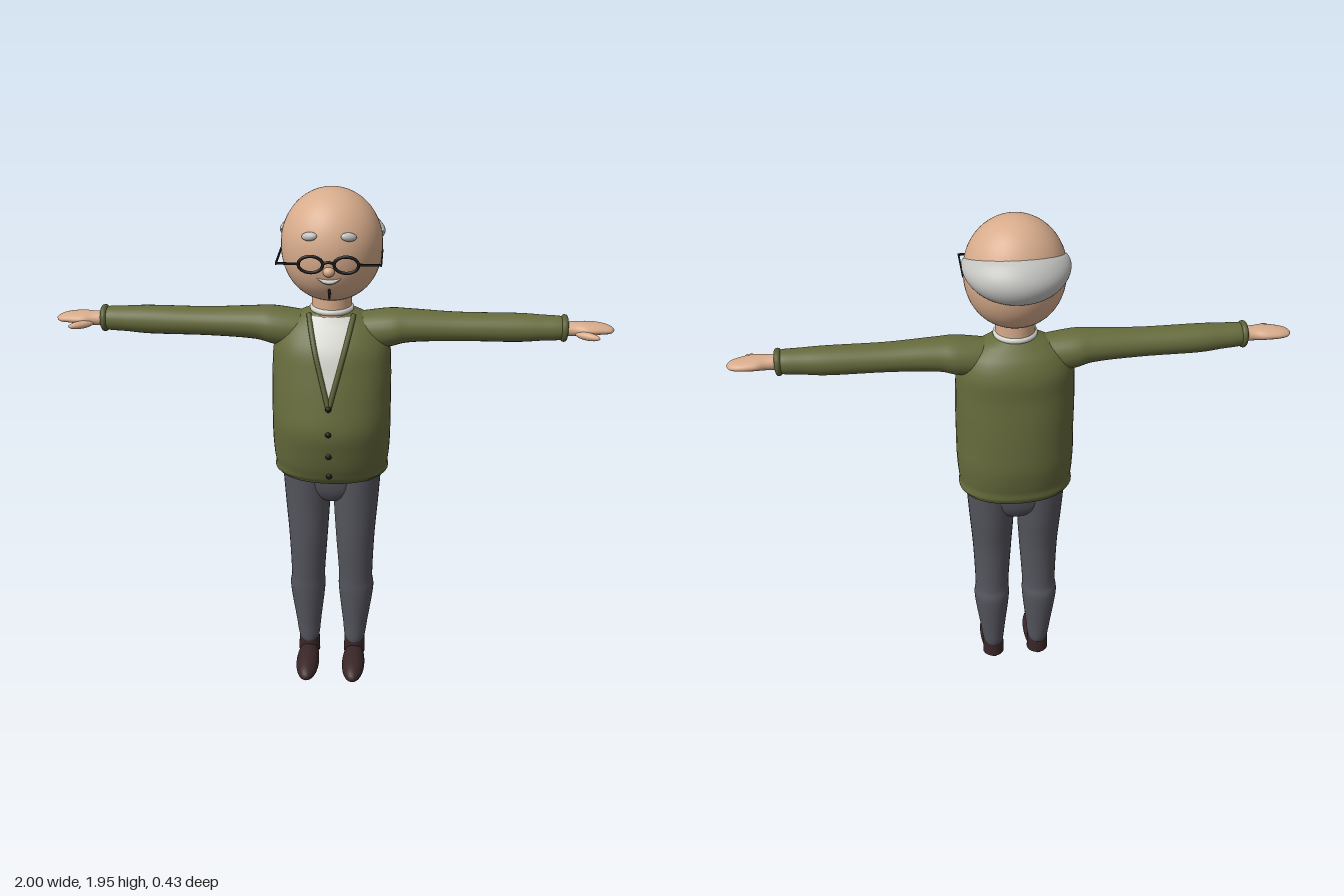
import * as THREE from 'three';

const mat = (name, color, side = THREE.FrontSide) => {
  const m = new THREE.MeshStandardMaterial({ color, side });
  m.name = name;
  return m;
};

// Smoothly splined sections [t, cx, cz, rx, rz] -> function of u in 0..1
function spline(sections) {
  const mid = new THREE.CatmullRomCurve3(sections.map(s => new THREE.Vector3(s[1], s[0], s[2])), false, 'catmullrom', 0.5);
  const rad = new THREE.CatmullRomCurve3(sections.map(s => new THREE.Vector3(s[3], s[0], s[4])), false, 'catmullrom', 0.5);
  return u => {
    const c = mid.getPoint(u), r = rad.getPoint(u);
    return { y: c.y, cx: c.x, cz: c.z, rx: Math.max(r.x, 0.0005), rz: Math.max(r.z, 0.0005) };
  };
}

// Closed skin through (super)elliptic rings stacked along y
function loft(at, rows = 40, cols = 36, power = 2) {
  const pos = [], idx = [];
  const bend = v => Math.sign(v) * Math.abs(v) ** (2 / power);
  for (let i = 0; i <= rows; i++) {
    const s = at(i / rows);
    for (let j = 0; j < cols; j++) {
      const a = (j / cols) * Math.PI * 2;
      pos.push(s.cx + s.rx * bend(Math.sin(a)), s.y, s.cz + s.rz * bend(Math.cos(a)));
      if (i < rows) {
        const k = (j + 1) % cols, p = i * cols, q = p + cols;
        idx.push(p + j, p + k, q + k, p + j, q + k, q + j);
      }
    }
  }
  const g = new THREE.BufferGeometry();
  g.setAttribute('position', new THREE.Float32BufferAttribute(pos, 3));
  g.setIndex(idx);
  g.computeVertexNormals();
  return g;
}

// Open patch: f(u, v) -> [x, y, z]
function sheet(nu, nv, f) {
  const g = new THREE.PlaneGeometry(1, 1, nu, nv), p = g.attributes.position;
  for (let i = 0; i < p.count; i++) p.setXYZ(i, ...f(p.getX(i) + 0.5, p.getY(i) + 0.5));
  g.computeVertexNormals();
  return g;
}

const ball = (rx, ry, rz, x, y, z, n = 24) => new THREE.SphereGeometry(1, n, n / 2).scale(rx, ry, rz).translate(x, y, z);
const tube = (pts, r, closed = false, n = 32) =>
  new THREE.TubeGeometry(new THREE.CatmullRomCurve3(pts.map(p => new THREE.Vector3(...p)), closed), n, r, 8, closed);

export function createModel() {
  const root = new THREE.Group();
  root.name = 'oldManInCardigan';
  const skin = mat('skin', 0xd8ac8c), green = mat('cardigan green', 0x666b3c), trim = mat('trim green', 0x5a5f35);
  const grey = mat('trouser grey', 0x55555e), brown = mat('shoe brown', 0x3a2628), black = mat('black', 0x1b1818);
  const hair = mat('hair grey', 0xc2c3bf, THREE.DoubleSide), white = mat('shirt white', 0xd6d6cf, THREE.DoubleSide);
  const add = (name, geo, m, parent = root) => {
    const mesh = new THREE.Mesh(geo, m);
    mesh.name = name;
    parent.add(mesh);
    return mesh;
  };

  // Cardigan body with a round belly
  const torso = spline([
    [0.89, 0, -0.008, 0.01, 0.01], [0.892, 0, -0.008, 0.193, 0.132], [0.94, 0, 0.002, 0.21, 0.16],
    [1.03, 0, 0.008, 0.217, 0.182], [1.12, 0, 0.016, 0.217, 0.19], [1.22, 0, 0.01, 0.217, 0.178],
    [1.32, 0, 0.002, 0.215, 0.16], [1.4, 0, -0.008, 0.208, 0.146], [1.46, 0, -0.015, 0.18, 0.116],
    [1.5, 0, -0.015, 0.13, 0.082], [1.525, 0, -0.01, 0.075, 0.062]
  ]);
  add('cardiganBody', loft(torso, 80, 48, 2.15), green);
  const torsoFront = (x, y) => {
    let lo = 0.1, hi = 1;
    for (let i = 0; i < 24; i++) {
      const m = (lo + hi) / 2;
      if (torso(m).y < y) lo = m; else hi = m;
    }
    const s = torso(lo);
    return s.cz + s.rz * Math.max(0, 1 - Math.abs(x / s.rx) ** 2.15) ** (1 / 2.15);
  };
  add('hem', loft(spline([
    [0.884, 0, -0.008, 0.18, 0.12], [0.886, 0, -0.008, 0.197, 0.136], [0.898, 0, -0.007, 0.203, 0.143],
    [0.912, 0, -0.005, 0.203, 0.144], [0.916, 0, -0.005, 0.19, 0.13]
  ]), 16, 48, 2.15), trim);

  // Shirt front in the V opening, its edging and the buttons
  const vHalf = y => 0.079 * (y - 1.215) / 0.3;
  add('shirtFront', sheet(16, 30, (u, v) => {
    const y = 1.22 + 0.293 * v, x = (u * 2 - 1) * vHalf(y);
    return [x, y, torsoFront(x, y) + 0.004];
  }), white);
  for (const s of [1, -1]) {
    const pts = [];
    for (let i = 0; i <= 10; i++) {
      const y = 1.215 + 0.03 * i, x = s * vHalf(y);
      pts.push([x, y, torsoFront(x, y) + 0.003]);
    }
    add('necklineTrim', tube(pts, 0.0095), trim);
  }
  for (const y of [1.22, 1.125, 1.03, 0.935])
    add('button', ball(0.011, 0.011, 0.006, 0, y, torsoFront(0, y) + (y > 1.2 ? 0.012 : 0.004), 16), black);

  // Neck and collar
  add('neck', new THREE.CylinderGeometry(0.072, 0.07, 0.16, 32).translate(0, 1.55, -0.007), skin);
  add('collar', new THREE.TorusGeometry(0.068, 0.011, 12, 40).rotateX(Math.PI / 2).translate(0, 1.53, -0.007), white);

  // Pelvis between the legs
  add('trouserSeat', loft(spline([
    [0.75, 0, -0.01, 0.001, 0.001], [0.77, 0, -0.01, 0.06, 0.06], [0.82, 0, -0.012, 0.145, 0.092], [0.905, 0, -0.012, 0.187, 0.106]
  ]), 20), grey);

  for (const s of [1, -1]) {
    const side = new THREE.Group();
    side.name = s > 0 ? 'leftLimbs' : 'rightLimbs';
    root.add(side);
    // Skins along x are lofted upright, then laid to the side
    const along = list => loft(spline(list.map(([x, y, z, ry, rz]) => [x, -s * y, z, ry, rz])), 40, 28).rotateZ(-s * Math.PI / 2);
    add('sleeve', along([
      [0.06, 1.435, -0.012, 0.07, 0.07], [0.2, 1.455, -0.012, 0.069, 0.079], [0.28, 1.464, -0.012, 0.059, 0.069],
      [0.45, 1.464, -0.012, 0.051, 0.059], [0.65, 1.465, -0.012, 0.051, 0.056], [0.74, 1.467, -0.01, 0.046, 0.05],
      [0.82, 1.468, -0.008, 0.04, 0.042], [0.83, 1.468, -0.008, 0.015, 0.015]
    ]), green, side);
    add('cuff', new THREE.TorusGeometry(0.037, 0.012, 12, 32).rotateY(Math.PI / 2).translate(s * 0.822, 1.468, -0.008), trim, side);
    add('hand', along([
      [0.81, 1.468, -0.006, 0.028, 0.029], [0.86, 1.468, -0.005, 0.025, 0.034], [0.9, 1.47, -0.006, 0.022, 0.046],
      [0.95, 1.469, -0.01, 0.018, 0.041], [0.985, 1.466, -0.009, 0.012, 0.027], [1.0, 1.465, -0.008, 0.001, 0.001]
    ]), skin, side);
    const thumb = add('thumb', ball(0.046, 0.014, 0.015, 0, 0, 0), skin, side);
    thumb.position.set(s * 0.9, 1.458, 0.045);
    thumb.rotation.y = -s * 0.5;

    add('trouserLeg', loft(spline([
      [0.1, 0.092, -0.012, 0.01, 0.01], [0.102, 0.092, -0.012, 0.037, 0.043], [0.2, 0.094, -0.015, 0.051, 0.055],
      [0.35, 0.096, -0.015, 0.069, 0.07], [0.42, 0.094, -0.008, 0.066, 0.067], [0.6, 0.091, -0.002, 0.075, 0.077],
      [0.75, 0.092, -0.008, 0.085, 0.09], [0.9, 0.095, -0.012, 0.092, 0.103]
    ].map(r => [r[0], s * r[1], r[2], r[3], r[4]])), 50, 32), grey, side);

    // Shoe, narrower at the heel, with an ankle collar
    const shoe = new THREE.SphereGeometry(1, 32, 20), p = shoe.attributes.position;
    for (let i = 0; i < p.count; i++) {
      const z = p.getZ(i);
      p.setXYZ(i, p.getX(i) * (0.045 + 0.005 * z), 0.045 + p.getY(i) * (p.getY(i) < 0 ? 0.042 : 0.044), 0.075 + z * 0.13);
    }
    shoe.computeVertexNormals();
    add('shoe', shoe.translate(s * 0.092, 0, 0), brown, side);
    add('ankle', new THREE.CylinderGeometry(0.041, 0.043, 0.07, 28).translate(s * 0.092, 0.075, -0.011), brown, side);
  }

  // Head
  const head = new THREE.Group();
  head.name = 'head';
  root.add(head);
  const headR = y => {
    const t = Math.min(1, Math.abs(y - 1.765) / (y > 1.765 ? 0.192 : 0.2)), n = y > 1.765 ? 2 : 2.2;
    return (1 - t ** n) ** (1 / n);
  };
  const headFront = (x, y) => -0.003 + 0.172 * Math.sqrt(Math.max(0, headR(y) ** 2 - (x / 0.177) ** 2));
  add('skull', loft(u => {
    const c = -Math.cos(u * Math.PI), y = 1.765 + c * (c > 0 ? 0.192 : 0.2), r = Math.max(headR(y), 0.001);
    return { y, cx: 0, cz: -0.003, rx: 0.177 * r, rz: 0.172 * r };
  }, 48, 48), skin, head);
  add('nose', ball(0.02, 0.018, 0.02, 0, 1.712, 0.164), skin, head);

  // Horseshoe of hair round the back
  add('hair', sheet(60, 16, (u, v) => {
    const e = Math.abs(u * 2 - 1), a = (u * 2 - 1) * 1.62;
    const low = 1.71 + 0.1 * e ** 2.2, high = 1.865 - 0.052 * e ** 2;
    const y = low + (high - low) * v;
    const out = -0.004 + 0.042 * Math.sin(Math.PI * v) ** 0.6 * (1 - 0.8 * e ** 2);
    const r = headR(y);
    return [-Math.sin(a) * (0.177 * r + out), y, -0.003 - Math.cos(a) * (0.172 * r + out)];
  }), hair, head);

  // Brows, moustache and chin tuft
  for (const s of [1, -1]) {
    const brow = add('eyebrow', ball(0.028, 0.015, 0.015, 0, 0, 0), hair, head);
    brow.position.set(s * 0.066, 1.829, headFront(0.066, 1.829) + 0.004);
    brow.rotation.set(0, s * 0.4, -s * 0.15);
  }
  add('moustache', sheet(24, 8, (u, v) => {
    const k = u * 2 - 1, x = k * 0.045, y = 1.672 + 0.016 * k * k + (v - 0.5) * 0.022 * (1 - k * k);
    return [x, y, headFront(x, y) - 0.002 + 0.014 * Math.sin(Math.PI * v) * (1 - k * k)];
  }), hair, head);
  add('chinTuft', ball(0.005, 0.022, 0.008, 0, 1.627, headFront(0, 1.627) + 0.008, 16), black, head);

  // Glasses
  const glasses = new THREE.Group();
  glasses.name = 'glasses';
  head.add(glasses);
  for (const s of [1, -1]) {
    const rim = [];
    for (let i = 0; i < 16; i++) {
      const a = i * Math.PI / 8;
      rim.push([s * 0.06 + 0.041 * Math.cos(a), 1.743 + 0.028 * Math.sin(a), 0.184]);
    }
    add('rim', tube(rim, 0.0055, true, 48), black, glasses);
    const hinge = new THREE.BoxGeometry(0.077, 0.007, 0.006).translate(s * 0.1385, 1.745, 0.184);
    add('hinge', hinge, black, glasses);
    add('temple', new THREE.BoxGeometry(0.005, 0.008, 0.18).translate(s * 0.176, 1.744, 0.096), black, glasses);
  }
  add('bridge', tube([[-0.021, 1.745, 0.184], [0, 1.752, 0.186], [0.021, 1.745, 0.184]], 0.005), black, glasses);

  return root;
}
